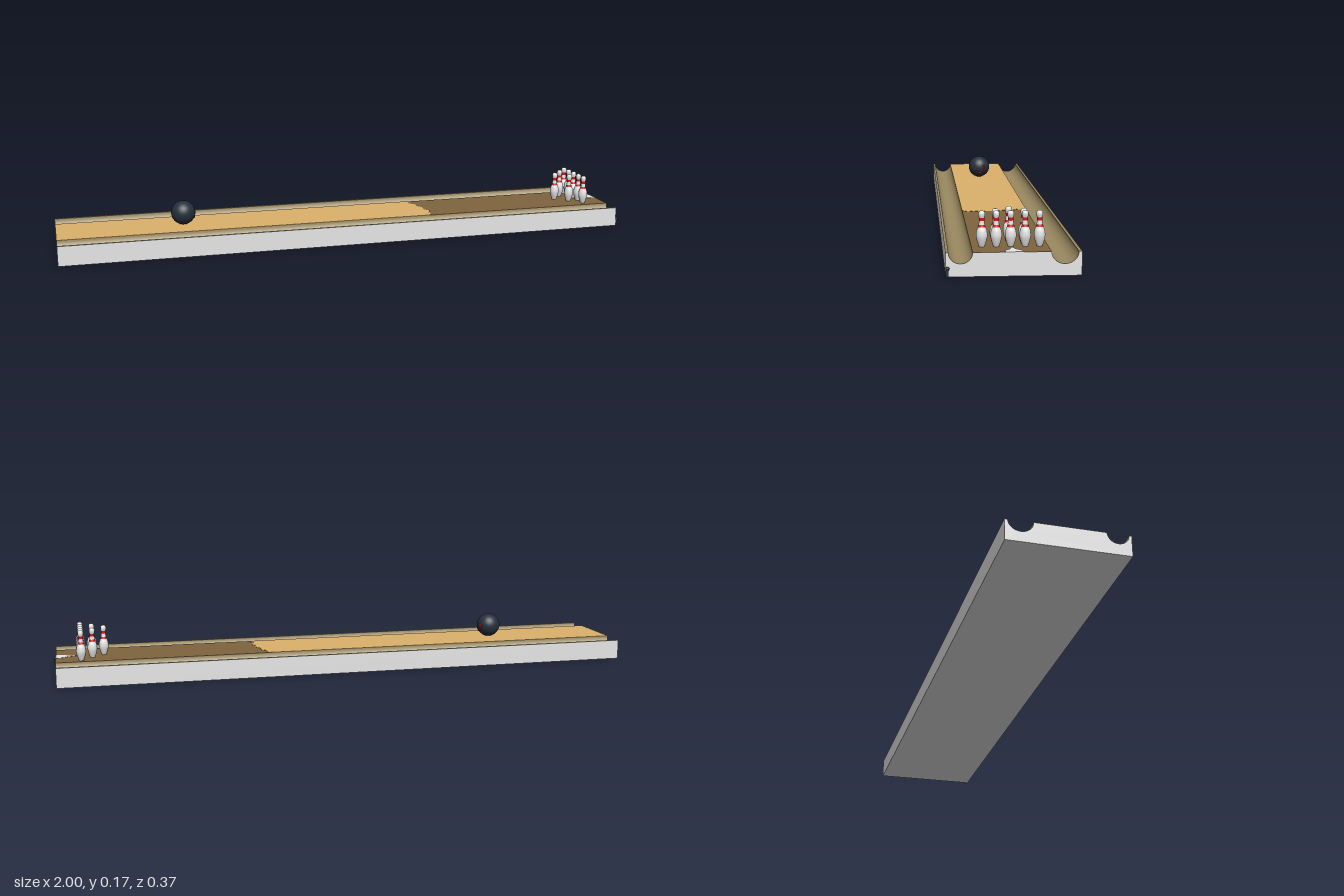
import * as THREE from 'three';

const mat = (name, color, side = THREE.FrontSide) => {
  const m = new THREE.MeshStandardMaterial({ color, side });
  m.name = name;
  return m;
};

const X0 = -1, X1 = 0.99, TOP = 0.067, HALF = 0.187;

export function createModel() {
  const white = mat('white', 0xe6e6e6);
  const whiteShell = mat('white shell', 0xe6e6e6, THREE.DoubleSide);
  const olive = mat('gutter olive', 0x9c8b62, THREE.DoubleSide);
  const tan = mat('light wood', 0xdcb26c);
  const brown = mat('dark wood', 0x80653f, THREE.DoubleSide);
  const red = mat('red', 0xd01818);
  const navy = mat('dark navy', 0x25303c);

  const model = new THREE.Group();
  model.name = 'bowlingLane';
  const add = (name, geo, material, parent = model) => {
    const mesh = new THREE.Mesh(geo, material);
    mesh.name = name;
    parent.add(mesh);
    return mesh;
  };

  // Strip along x through a [z, y] profile running from +z to -z on top surfaces
  const strip = (pts) => {
    const pos = [], idx = [];
    pts.forEach(([z, y], i) => {
      pos.push(X0, y, z, X1, y, z);
      const a = 2 * i;
      if (i < pts.length - 1) idx.push(a, a + 1, a + 3, a, a + 3, a + 2);
    });
    const g = new THREE.BufferGeometry();
    g.setAttribute('position', new THREE.Float32BufferAttribute(pos, 3));
    g.setIndex(idx);
    g.computeVertexNormals();
    return g;
  };

  // Half-round gutter profile between two z values
  const arc = (zA, zB, bottom) => Array.from({ length: 25 }, (_, i) => {
    const t = Math.PI * i / 24;
    return [(zA + zB) / 2 + (zA - zB) / 2 * Math.cos(t), TOP - (TOP - bottom) * Math.sin(t)];
  });
  const leftArc = arc(0.179, 0.113, 0.036), rightArc = arc(-0.103, -0.178, 0.033);

  // Lane body: gutters, rims, deck, outer walls, underside
  add('leftGutter', strip(leftArc), olive);
  add('rightGutter', strip(rightArc), olive);
  add('leftRim', strip([[HALF, TOP], [0.179, TOP]]), olive);
  add('rightRim', strip([[-0.178, TOP], [-HALF, TOP]]), olive);
  add('laneDeck', strip([[0.113, TOP], [-0.103, TOP]]), brown);
  add('leftWall', strip([[HALF, 0], [HALF, TOP]]), whiteShell);
  add('rightWall', strip([[-HALF, TOP], [-HALF, 0]]), whiteShell);
  add('underside', strip([[-HALF, 0], [HALF, 0]]), whiteShell);

  // Closed ends, drawn as the cross-section in (-z, y)
  const section = [[HALF, 0], [HALF, TOP], ...leftArc, ...rightArc, [-HALF, TOP], [-HALF, 0]];
  const endShape = new THREE.Shape(section.map(([z, y]) => new THREE.Vector2(-z, y)));
  for (const [name, x] of [['startEnd', X0], ['pinEnd', X1]]) {
    const g = new THREE.ShapeGeometry(endShape).rotateY(Math.PI / 2).translate(x, 0, 0);
    add(name, g, whiteShell);
  }

  // Thin plates on the deck, outlined in (x, z)
  const plate = (name, pts, material) => {
    const shape = new THREE.Shape(pts.map(([x, z]) => new THREE.Vector2(x, -z)));
    const g = new THREE.ExtrudeGeometry(shape, { depth: 0.0008, bevelEnabled: false });
    add(name, g.rotateX(-Math.PI / 2).translate(0, TOP, 0), material);
  };
  plate('lightWoodPanel', [
    [X0, 0.113], [0.29, 0.113], [0.31, 0.095], [0.3, 0.075], [0.315, 0.05], [0.3, 0.03],
    [0.305, 0], [0.29, -0.025], [0.295, -0.05], [0.275, -0.07], [0.28, -0.09], [0.265, -0.103], [X0, -0.103],
  ], tan);
  plate('paleEndPatch', [
    [0.92, 0], [0.95, 0.008], [0.96, 0.02], [X1, 0.024], [X1, -0.028], [0.965, -0.024], [0.95, -0.01],
  ], white);

  // Ball with a plain red ring on the side facing the pins
  const ball = new THREE.Group();
  ball.name = 'ball';
  ball.position.set(-0.57, TOP + 0.042, 0.008);
  model.add(ball);
  add('ballSphere', new THREE.SphereGeometry(0.0415, 40, 28), navy, ball);
  const ring = add('ballRing', new THREE.TorusGeometry(0.0175, 0.0015, 8, 32), red, ball);
  ring.rotation.y = Math.PI / 2;
  ring.position.set(0.0372, -0.004, -0.003);

  // Pin profile, cut into white and red sections
  const profile = new THREE.SplineCurve([
    [0.008, 0], [0.0122, 0.012], [0.0155, 0.025], [0.016, 0.034], [0.0145, 0.045], [0.0108, 0.055],
    [0.0088, 0.062], [0.0075, 0.073], [0.008, 0.082], [0.0096, 0.09], [0.0085, 0.097], [0.005, 0.1005], [0, 0.101],
  ].map(([r, y]) => new THREE.Vector2(r, y)));
  const points = profile.getPoints(48).map((p) => new THREE.Vector2(Math.max(p.x, 0), p.y));
  const sections = [
    ['pinBody', 0, 5, white], ['lowerBand', 5, 6, red], ['pinNeck', 6, 7, white],
    ['upperBand', 7, 8, red], ['pinHead', 8, 12, white],
  ].map(([name, a, b, m]) => [name, new THREE.LatheGeometry(points.slice(a * 4, b * 4 + 1), 24), m]);
  const foot = new THREE.CircleGeometry(0.008, 24).rotateX(Math.PI / 2);

  // Three rows of pins: one, two and five
  const rows = [[0.829, [0]], [0.868, [-1, 1]], [0.906, [-2, -1, 0, 1, 2]]];
  for (const [x, columns] of rows) {
    for (const k of columns) {
      const pin = new THREE.Group();
      pin.name = 'pin';
      pin.position.set(x, TOP, 0.0025 + k * 0.0405);
      for (const [name, g, m] of sections) add(name, g, m, pin);
      add('pinFoot', foot, white, pin);
      model.add(pin);
    }
  }

  // Small dark fitting at the corner of the pin end
  add('cornerPost', new THREE.BoxGeometry(0.008, 0.022, 0.007).translate(0.994, 0.011, 0.183), navy);
  add('cornerKnob', new THREE.SphereGeometry(0.0055, 12, 8).translate(0.9945, 0.024, 0.182), navy);

  return model;
}
